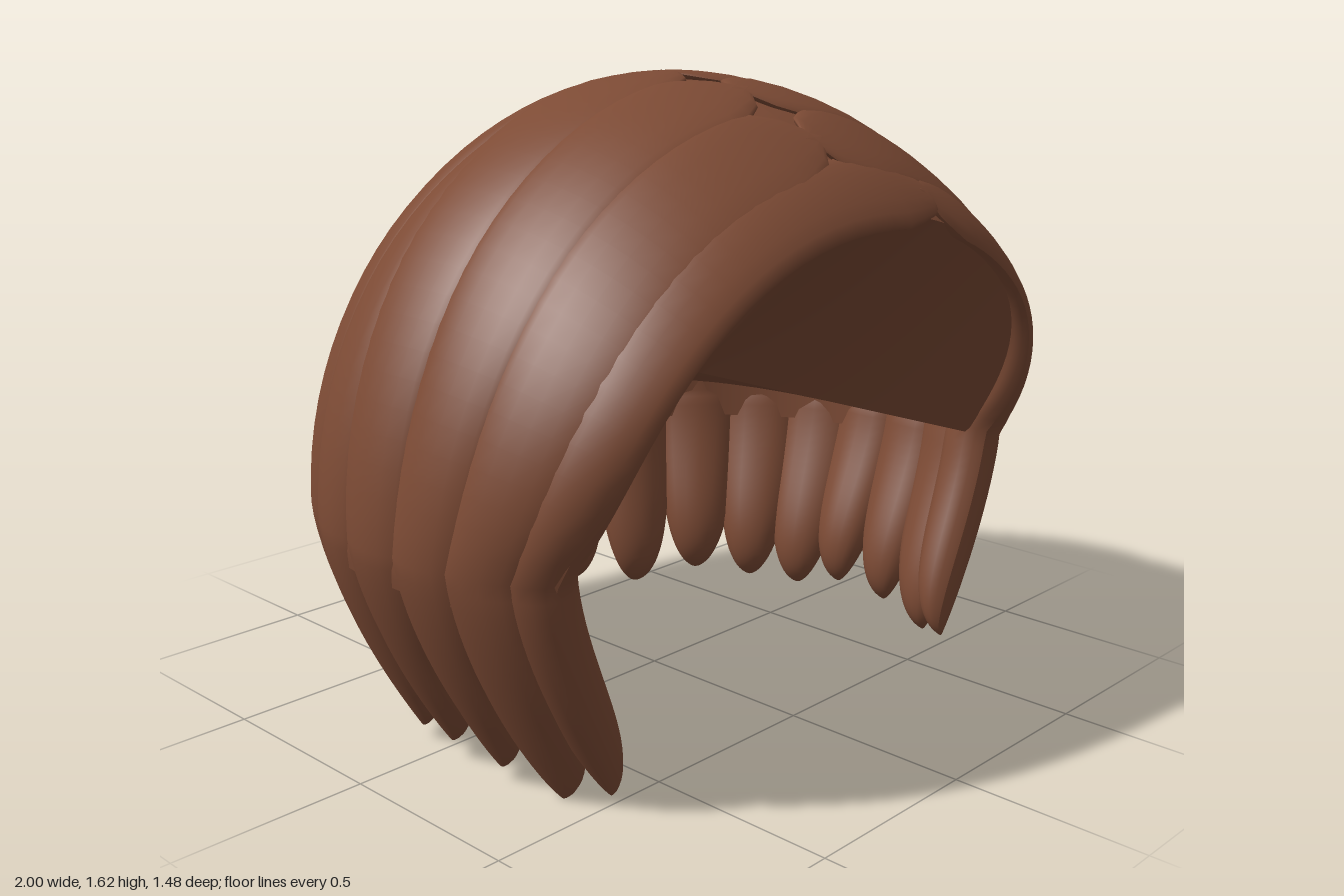
import * as THREE from 'three';

const HALF = Math.PI / 2, SEAM = 0.62, RIM_Y = 0.6;
const material = new THREE.MeshStandardMaterial({ color: 0x7d4b35, side: THREE.DoubleSide });

// Outer hair surface. u: -1 front right edge, 0 back, 1 front left edge.
// v: 0 parting, 1 widest level, 2 tips.
function hair(u, v, tipY = 0.02) {
  const s = Math.sign(u) || 1, m = Math.abs(u);
  const theta = Math.min(m / SEAM, 1) * HALF;
  const e = Math.max(0, (m - SEAM) / (1 - SEAM));
  const a = Math.min(v, 1) * HALF, h = Math.max(0, v - 1);
  const top = 1.63 - 0.29 * e ** 2.2;
  const inset = (0.11 + 0.13 * Math.sin(theta)) * h ** 1.5;
  const rx = 1 - 0.13 * e ** 3;
  const x = (rx * Math.sin(a) - inset) * Math.sin(theta);
  const z = 0.05 - (0.79 * Math.sin(a) - inset) * Math.cos(theta)
    + e * (0.67 - 0.18 * (1 - Math.cos(a)) ** 2.5);
  const y = RIM_Y + (top - RIM_Y) * Math.cos(a) - (RIM_Y - tipY) * h;
  return new THREE.Vector3(s * x, y, z);
}

// Smooth surface from a function of (i, j) fractions
function surface(name, fn, ni, nj) {
  const pos = [], idx = [];
  for (let i = 0; i <= ni; i++) {
    for (let j = 0; j <= nj; j++) {
      pos.push(...fn(i / ni, j / nj).toArray());
      if (i < ni && j < nj) {
        const a = i * (nj + 1) + j, c = a + nj + 1;
        idx.push(a, c, a + 1, a + 1, c, c + 1);
      }
    }
  }
  const g = new THREE.BufferGeometry();
  g.setAttribute('position', new THREE.Float32BufferAttribute(pos, 3));
  g.setIndex(idx);
  g.computeVertexNormals();
  const mesh = new THREE.Mesh(g, material);
  mesh.name = name;
  return mesh;
}

// One flattened, tapered lock following the hair surface
function lock(name, u, width, tipY, start = 0.03) {
  const side = Math.abs(u) >= SEAM;
  return surface(name, (i, j) => {
    const v = i < 0.5 ? start + (1 - start) * i * 2 : 1 + Math.sin((i * 2 - 1) * HALF);
    const h = Math.max(0, v - 1);
    const p = hair(u, v, tipY), k = 0.004;
    const w = hair(u + k, v, tipY).sub(hair(u - k, v, tipY)).normalize();
    const t = hair(u, v + k, tipY).sub(hair(u, v - k, tipY)).normalize();
    const n = w.clone().cross(t).normalize();
    const round = Math.sqrt(Math.max(0, 1 - h ** 5));
    const spread = side ? 1.3 - 0.3 * Math.min(Math.abs(v), 1) : Math.sin(Math.min(v, 1) * HALF);
    const begin = start < 0 || start > 0.1 ? Math.sqrt(Math.min(1, i / 0.06)) : 1;
    const half = width * spread * (1 - 0.25 * h) * round * begin;
    const d = (0.03 + 0.045 * THREE.MathUtils.smoothstep(v, 0.5, 1.1)) * round * begin;
    const f = j * Math.PI * 2;
    return p.addScaledVector(w, half * Math.cos(f)).addScaledVector(n, d * (Math.sin(f) - 1));
  }, 48, 16);
}

export function createModel() {
  const group = new THREE.Group();
  group.name = 'hair';

  // Cap beneath the locks
  const inner = (u, v) => {
    const p = hair(u, v);
    return p.set(p.x * 0.98, p.y - 0.02, p.z - (p.z - 0.05) * 0.02);
  };
  group.add(surface('cap', (i, j) => inner(i * 2 - 1, j * 1.1), 72, 28));

  // Hollow underside: front arch, folded ridge, back rim
  const arch = t => inner(t < 0 ? -1 : 1, Math.abs(t));
  const ridge = t => {
    const k = 1 - Math.abs(Math.sin(t * HALF));
    const end = arch(Math.sign(t) || 1);
    const corner = inner(1, 1);
    return new THREE.Vector3(Math.sin(t * HALF) * corner.x,
      end.y + (0.86 - end.y) * k, corner.z + (0.1 - corner.z) * k);
  };
  const rim = (t, y) => {
    const p = inner(t, 1), f = 1 - 0.15 * (1 - t ** 4);
    return p.set(p.x * f, y, p.z * f);
  };
  const rimTop = t => rim(t, 0.58 + 0.11 * (1 - t * t));
  const rimLow = t => rim(t, 0.52);
  const strips = {
    innerFront: [arch, ridge],
    innerRoof: [ridge, rimTop],
    innerRim: [rimTop, rimLow],
    innerHem: [rimLow, t => inner(t, 1.1)],
  };
  for (const [name, [from, to]] of Object.entries(strips)) {
    group.add(surface(name, (i, j) => from(i * 2 - 1).lerp(to(i * 2 - 1), j), 48, 8));
  }

  // Back locks, fanned out from the crown
  for (let k = -5; k <= 5; k++) {
    group.add(lock('backLock', SEAM * k * 15 / 90, 0.135, 0.025 + 0.02 * Math.sin(k * 2.4)));
  }

  // Side locks and fringe; the fringe meets at an off-centre parting
  const sides = [[0, 0.125, 0.05], [0.36, 0.125, 0.04], [0.71, 0.13, 0.005]];
  for (const s of [-1, 1]) {
    for (const [e, w, tip] of sides) {
      group.add(lock('sideLock', s * (SEAM + (1 - SEAM) * e), w, tip, -0.02));
    }
    group.add(lock('fringeLock', s * (SEAM + (1 - SEAM) * 0.92), 0.09, 0.03, s < 0 ? -0.24 : 0.17));
  }
  return group;
}
